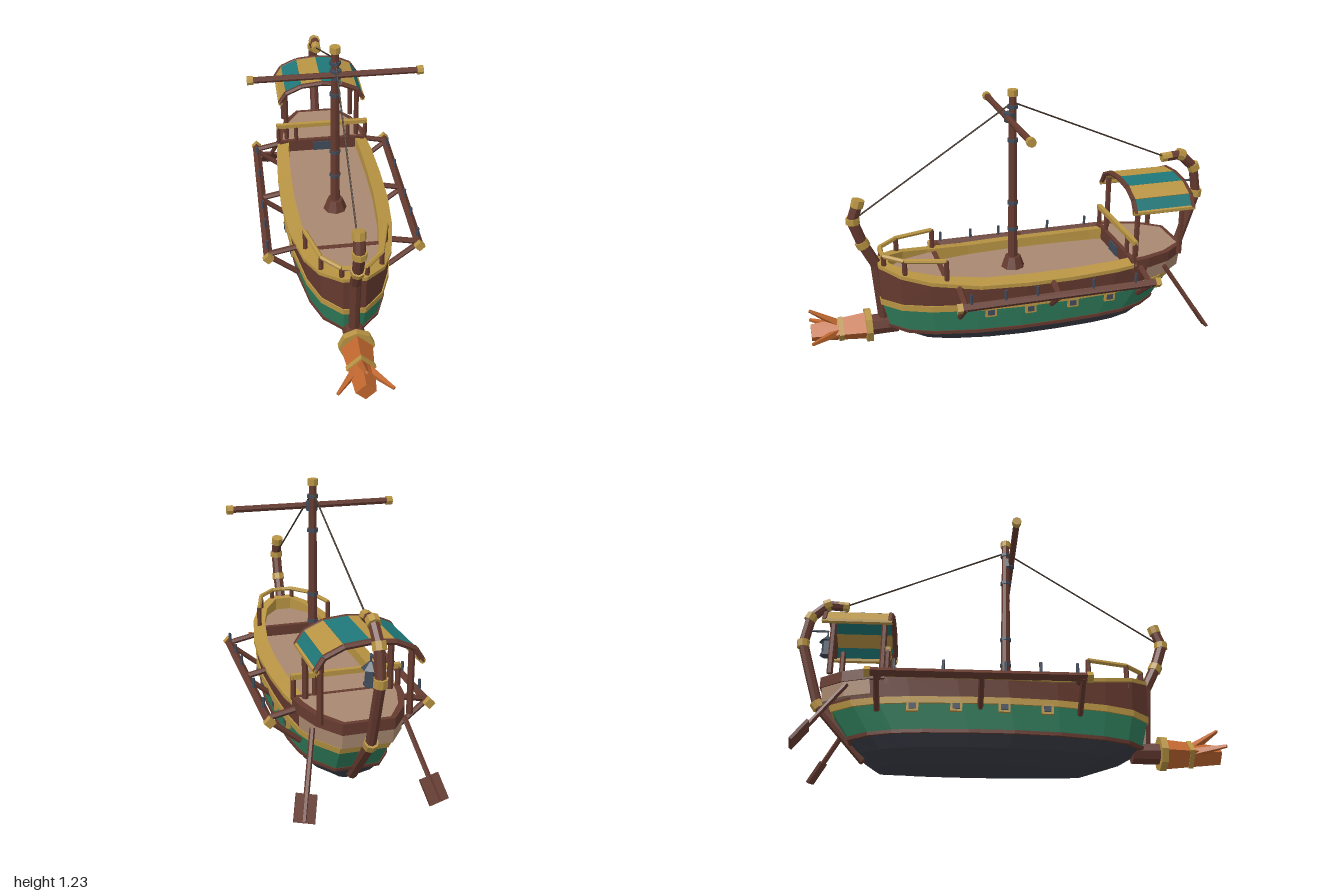
import * as THREE from 'three';

const mat = (name, color, double) => {
  const m = new THREE.MeshStandardMaterial({ color, flatShading: true });
  m.name = name;
  if (double) m.side = THREE.DoubleSide;
  return m;
};

export function createModel() {
  const brown = mat('dark wood', 0x653a2f), gold = mat('gold trim', 0xb89443, true), green = mat('green paint', 0x2f7d5c);
  const tar = mat('tarred bottom', 0x3a3c46), tan = mat('deck planks', 0xa98870), teal = mat('teal cloth', 0x1f7778);
  const orange = mat('copper ram', 0xc0672f), slate = mat('iron', 0x3f4a5a), rope = mat('rope', 0x40322a);
  const model = new THREE.Group();
  model.name = 'galley';
  const V = (x, y, z) => new THREE.Vector3(x, y, z);

  const add = (name, geo, m, x = 0, y = 0, z = 0) => {
    const mesh = new THREE.Mesh(geo, m);
    mesh.name = name;
    mesh.position.set(x, y, z);
    model.add(mesh);
    return mesh;
  };
  const box = (name, w, h, d, m, x, y, z) => add(name, new THREE.BoxGeometry(w, h, d), m, x, y, z);
  // straight bar between two points
  const rod = (name, a, b, r, m, sides = 8, r2 = r) => {
    const d = b.clone().sub(a);
    const mesh = add(name, new THREE.CylinderGeometry(r2, r, d.length(), sides), m);
    mesh.position.copy(a).add(b).multiplyScalar(0.5);
    mesh.quaternion.setFromUnitVectors(V(0, 1, 0), d.normalize());
    return mesh;
  };
  const chain = (name, pts, r, m, sides = 8) => {
    for (let i = 0; i + 1 < pts.length; i++) rod(name, pts[i], pts[i + 1], r, m, sides);
  };

  // ---- hull outline: relative half width from bow (t = 0) to stern (t = 1)
  const T = [0, 0.06, 0.15, 0.3, 0.45, 0.6, 0.75, 0.85, 0.93, 1];
  const F = [0.2, 0.55, 0.76, 0.93, 1, 1, 0.96, 0.88, 0.72, 0.42];
  const f = (t) => {
    let i = 0;
    while (i < T.length - 2 && t > T[i + 1]) i++;
    return F[i] + (F[i + 1] - F[i]) * (t - T[i]) / (T[i + 1] - T[i]);
  };
  const sheer = (z) => 0.362 + 0.075 * Math.max(0, (z - 0.12) / 0.53) ** 2 + 0.03 * Math.max(0, (-z - 0.15) / 0.65) ** 2;
  // half of a horizontal hull line; y may be a rule of z
  const line = (w, y, zb, zs, t0 = 0, t1 = 1) => {
    const ts = [t0, ...T.filter((t) => t > t0 && t < t1), t1];
    const pts = ts.map((t) => {
      const z = zb + (zs - zb) * t;
      return V(w * f(t), typeof y === 'function' ? y(z) : y, z);
    });
    if (t0 === 0) pts.unshift(V(0, pts[0].y, pts[0].z));
    if (t1 === 1) pts.push(V(0, pts[pts.length - 1].y, pts[pts.length - 1].z));
    return pts;
  };
  // skin hull lines, then mirror to the other side
  const skin = (name, m, ...rows) => {
    const p = [];
    for (let j = 0; j + 1 < rows.length; j++) {
      for (let i = 0; i + 1 < rows[j].length; i++) {
        const a = rows[j][i], b = rows[j][i + 1], c = rows[j + 1][i + 1], d = rows[j + 1][i];
        for (const v of [a, b, c, a, c, d]) p.push(v.x, v.y, v.z);
      }
    }
    const geo = new THREE.BufferGeometry();
    geo.setAttribute('position', new THREE.Float32BufferAttribute(p, 3));
    geo.computeVertexNormals();
    add(name, geo, m);
    add(name, geo, m).scale.x = -1;
  };

  // hull planking by colour
  const chine = line(0.225, 0.13, 0.62, -0.7), belt = line(0.243, 0.25, 0.65, -0.78);
  skin('hullBottom', tar, line(0, 0, 0.33, -0.56), line(0.02, 0, 0.33, -0.56), line(0.1, 0.02, 0.38, -0.58),
    line(0.19, 0.07, 0.52, -0.64), chine);
  skin('hullSide', green, chine, belt);
  skin('hullTopside', brown, belt, line(0.245, 0.28, 0.655, -0.795), line(0.252, sheer, 0.66, -0.82));
  skin('chineRail', brown, line(0.215, 0.122, 0.61, -0.69), line(0.232, 0.122, 0.625, -0.705),
    line(0.232, 0.138, 0.63, -0.71), line(0.22, 0.138, 0.62, -0.7));
  skin('goldBelt', gold, line(0.24, 0.25, 0.65, -0.78), line(0.252, 0.25, 0.658, -0.788),
    line(0.252, 0.28, 0.66, -0.8), line(0.24, 0.28, 0.65, -0.79));
  skin('gunwale', gold, line(0.245, sheer, 0.65, -0.82, 0, 0.81), line(0.265, sheer, 0.66, -0.82, 0, 0.81),
    line(0.265, (z) => sheer(z) + 0.018, 0.66, -0.82, 0, 0.81),
    line(0.197, (z) => sheer(z) + 0.03, 0.61, -0.82, 0, 0.81), line(0.195, 0.34, 0.61, -0.82, 0, 0.81));

  // decks
  skin('mainDeck', tan, line(0.2, 0.345, 0.61, -0.8), line(0, 0.345, 0.61, -0.8));
  skin('foreDeck', tan, line(0.197, 0.395, 0.61, -0.82, 0, 0.17), line(0, 0.395, 0.61, -0.82, 0, 0.17));
  box('foreDeckStep', 0.32, 0.052, 0.025, brown, 0, 0.37, 0.362);
  skin('sternGallery', tan, line(0.235, 0.295, 0.65, -0.8, 0.85), line(0.258, 0.295, 0.66, -0.83, 0.85), line(0.26, 0.365, 0.66, -0.838, 0.85));
  skin('sternCastle', brown, line(0.24, 0.362, 0.66, -0.82, 0.805), line(0.265, 0.362, 0.66, -0.845, 0.805),
    line(0.265, 0.412, 0.66, -0.845, 0.805), line(0.235, 0.412, 0.66, -0.825, 0.805));
  skin('sternDeck', tan, line(0.24, 0.411, 0.66, -0.83, 0.805), line(0, 0.411, 0.66, -0.83, 0.805));
  box('bulkhead', 0.46, 0.07, 0.02, brown, 0, 0.377, -0.54);
  box('hatchDoor', 0.1, 0.05, 0.008, slate, 0, 0.372, -0.527);

  // stem post
  const stem = [V(0, 0.1, 0.64), V(0, 0.44, 0.665), V(0, 0.55, 0.72), V(0, 0.67, 0.76), V(0, 0.74, 0.735)];
  chain('stemPost', stem, 0.026, brown);
  rod('stemBand', V(0, 0.535, 0.713), V(0, 0.565, 0.727), 0.032, gold);
  rod('stemBand', V(0, 0.655, 0.757), V(0, 0.685, 0.757), 0.032, gold);
  rod('stemCap', V(0, 0.735, 0.735), V(0, 0.77, 0.725), 0.03, gold);

  // curled stern post
  const stern = [V(0, 0.06, -0.635), V(0, 0.32, -0.865), V(0, 0.48, -0.915), V(0, 0.63, -0.96), V(0, 0.77, -0.935), V(0, 0.84, -0.86), V(0, 0.835, -0.785)];
  chain('sternPost', stern, 0.024, brown);
  for (const i of [1, 3, 4, 5]) {
    const d = stern[i + 1].clone().sub(stern[i - 1]).normalize().multiplyScalar(0.018);
    rod('sternBand', stern[i].clone().sub(d), stern[i].clone().add(d), 0.03, gold);
  }
  rod('sternTip', V(0, 0.837, -0.81), V(0, 0.833, -0.76), 0.024, gold);

  // ram
  rod('ramShaft', V(0, 0.12, 0.58), V(0, 0.12, 0.73), 0.05, brown);
  rod('ramCollar', V(0, 0.122, 0.705), V(0, 0.122, 0.735), 0.082, gold);
  rod('ramHead', V(0, 0.12, 0.73), V(0, 0.12, 0.99), 0.072, orange, 4, 0.045);
  rod('ramBand', V(0, 0.12, 0.84), V(0, 0.12, 0.862), 0.066, gold, 4);
  for (const [x, y] of [[-0.12, 0.125], [0.12, 0.125], [0, 0.238]])
    rod('ramProng', V(x * 0.25, 0.12 + (y - 0.12) * 0.3, 0.87), V(x, y, 0.99), 0.022, orange, 4, 0.008);

  // mast, yard and rigging
  rod('mastFoot', V(0, 0.345, 0), V(0, 0.4, 0), 0.058, brown, 8, 0.038);
  rod('mast', V(0, 0.36, 0), V(0, 1.21, 0), 0.024, brown, 8, 0.018);
  rod('mastCap', V(0, 1.2, 0), V(0, 1.23, 0), 0.025, gold);
  for (const y of [0.545, 0.68, 0.99, 1.15]) rod('mastBand', V(0, y - 0.008, 0), V(0, y + 0.008, 0), 0.026, slate);
  rod('yard', V(-0.385, 1.102, 0.027), V(0.385, 1.102, 0.027), 0.015, brown);
  rod('yardSling', V(0, 1.08, 0.015), V(0, 1.124, 0.015), 0.027, slate);
  for (const s of [-1, 1]) rod('yardCap', V(s * 0.368, 1.102, 0.027), V(s * 0.396, 1.102, 0.027), 0.021, gold);
  rod('forestay', V(0, 1.17, 0), V(0, 0.68, 0.745), 0.004, rope, 5);
  rod('backstay', V(0, 1.17, 0), V(0, 0.835, -0.78), 0.004, rope, 5);

  // parts repeated on both sides
  for (const s of [-1, 1]) {
    // outrigger beam with braces and thole pins
    const bx = s * 0.355;
    rod('outrigger', V(bx, 0.342, -0.6), V(bx, 0.342, 0.34), 0.021, brown, 4);
    for (const z of [-0.613, 0.343]) rod('outriggerCap', V(bx, 0.342, z - 0.013), V(bx, 0.342, z + 0.013), 0.026, gold, 4);
    for (const z of [0.315, -0.125, -0.575]) {
      rod('upperBrace', V(s * 0.2, 0.378, z), V(bx, 0.345, z), 0.014, brown, 6);
      rod('lowerBrace', V(s * 0.215, 0.22, z), V(bx, 0.335, z), 0.013, brown, 6);
    }
    for (const z of [0.29, 0.13, -0.02, -0.29, -0.5]) rod('tholePin', V(bx, 0.345, z), V(bx, 0.405, z), 0.007, slate, 6);
    // oar ports
    for (const z of [0.17, -0.02, -0.23, -0.42]) {
      const x = s * 0.243 * f((0.65 - z) / 1.43);
      box('portFrame', 0.02, 0.044, 0.052, gold, x, 0.235, z);
      box('portHole', 0.026, 0.026, 0.032, slate, x, 0.235, z);
    }
    // steering oar
    const a = V(s * 0.2, 0.345, -0.715), b = V(s * 0.288, 0.04, -0.912);
    rod('steeringOar', a, b, 0.012, brown, 6);
    const blade = box('oarBlade', 0.088, 0.115, 0.014, brown, 0, 0, 0);
    blade.position.lerpVectors(a, b, 0.86);
    const up = a.clone().sub(b).normalize(), side = V(1, 0, 0).addScaledVector(up, -up.x).normalize();
    blade.quaternion.setFromRotationMatrix(new THREE.Matrix4().makeBasis(side, up, side.clone().cross(up)));
    // bow rail
    const rail = [V(s * 0.185, 0.5, 0.365), V(s * 0.135, 0.5, 0.55), V(s * 0.055, 0.5, 0.635), V(0, 0.5, 0.64)];
    chain('bowRail', rail, 0.011, gold, 6);
    for (const p of rail.slice(0, 3)) rod('bowRailPost', V(p.x, 0.385, p.z), p, 0.012, brown, 6);
    // aft rail posts and canopy posts
    for (const x of [0.235, 0.14]) rod('aftRailPost', V(s * x, 0.4, -0.54), V(s * x, 0.5, -0.54), 0.012, brown, 6);
    rod('canopyPost', V(s * 0.19, 0.4, -0.565), V(s * 0.19, 0.68, -0.565), 0.014, brown, 6);
    rod('canopyPost', V(s * 0.19, 0.4, -0.795), V(s * 0.19, 0.68, -0.795), 0.014, brown, 6);
    rod('canopyEave', V(s * 0.218, 0.648, -0.845), V(s * 0.218, 0.648, -0.53), 0.013, gold, 6);
  }
  box('aftRail', 0.49, 0.022, 0.022, gold, 0, 0.503, -0.54);

  // striped canopy with end arches
  const arch = [[-0.222, 0.65], [-0.187, 0.705], [-0.105, 0.742], [0, 0.752], [0.105, 0.742], [0.187, 0.705], [0.222, 0.65]];
  for (let i = 0; i < 6; i++) {
    const [x0, y0] = arch[i], [x1, y1] = arch[i + 1];
    const strip = box('canopyStripe', Math.hypot(x1 - x0, y1 - y0), 0.008, 0.3, i % 2 ? teal : gold, (x0 + x1) / 2, (y0 + y1) / 2, -0.688);
    strip.rotation.z = Math.atan2(y1 - y0, x1 - x0);
  }
  for (const z of [-0.54, -0.835]) chain('canopyArch', arch.map(([x, y]) => V(x, y - 0.004, z)), 0.013, brown, 6);

  // stern lantern on its bracket
  rod('lanternBracket', V(0, 0.7, -0.945), V(0, 0.7, -0.845), 0.006, slate, 6);
  rod('lanternHook', V(0, 0.7, -0.848), V(0, 0.66, -0.848), 0.004, slate, 6);
  rod('lanternRoof', V(0, 0.642, -0.848), V(0, 0.672, -0.848), 0.04, slate, 6, 0.008);
  rod('lanternBody', V(0, 0.58, -0.848), V(0, 0.642, -0.848), 0.024, slate, 6);
  rod('lanternBase', V(0, 0.57, -0.848), V(0, 0.582, -0.848), 0.03, slate, 6);
  return model;
}
